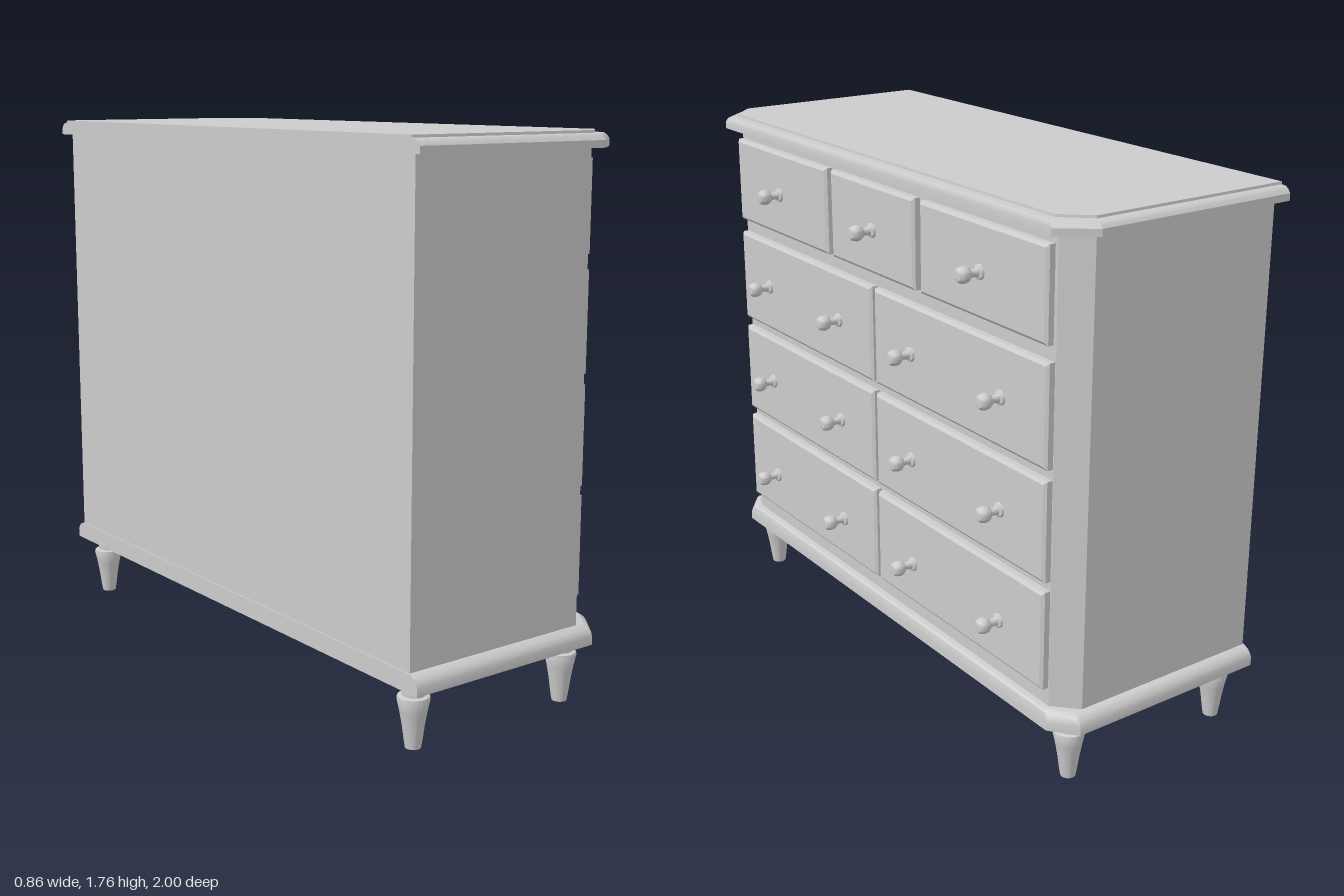
import * as THREE from 'three';
import { toCreasedNormals } from 'three/addons/utils/BufferGeometryUtils.js';

const material = new THREE.MeshStandardMaterial({ color: 0xcccccc });

function add(parent, geometry, name, x = 0, y = 0, z = 0) {
  const mesh = new THREE.Mesh(geometry, material);
  mesh.name = name;
  mesh.position.set(x, y, z);
  parent.add(mesh);
  return mesh;
}

// Slab with a flat back and two chamfered front corners, lofted through
// levels of [y, front inset, side inset].
function chamferedSlab({ back, front, cornerX, half, cornerZ }, levels) {
  const positions = [];
  const indices = [];
  for (const [y, fx, sz] of levels) {
    const c = cornerX - fx * 0.3, z = half - sz, cz = cornerZ - sz * 0.8, f = front - fx;
    const ring = [[back, z], [c, z], [f, cz], [f, -cz], [c, -z], [back, -z]];
    for (const [px, pz] of ring) positions.push(px, y, pz);
  }
  const n = 6;
  const last = (levels.length - 1) * n;
  for (let j = 0; j < levels.length - 1; j++) {
    for (let i = 0; i < n; i++) {
      const a = j * n + i, b = j * n + (i + 1) % n;
      indices.push(a, b, b + n, a, b + n, a + n);
    }
  }
  for (let i = 1; i < n - 1; i++) {
    indices.push(0, i + 1, i, last, last + i, last + i + 1);
  }
  const geometry = new THREE.BufferGeometry();
  geometry.setAttribute('position', new THREE.Float32BufferAttribute(positions, 3));
  geometry.setIndex(indices);
  return toCreasedNormals(geometry, 0.5);
}

// Turned part from [radius, height] points
function turned(points, segments = 24) {
  const profile = points.map(([r, y]) => new THREE.Vector2(r, y));
  return toCreasedNormals(new THREE.LatheGeometry(profile, segments), 0.6);
}

// Drawer front with a bevelled rim, facing +x
function drawerFront(width, height) {
  const bevel = 0.01;
  const w = width / 2 - bevel, h = height / 2 - bevel;
  const shape = new THREE.Shape([[-w, -h], [w, -h], [w, h], [-w, h]].map((p) => new THREE.Vector2(...p)));
  const geometry = new THREE.ExtrudeGeometry(shape, {
    depth: 0.022, bevelEnabled: true, bevelSize: bevel, bevelThickness: 0.008, bevelSegments: 1,
  });
  return geometry.rotateY(Math.PI / 2);
}

export function createModel() {
  const model = new THREE.Group();
  model.name = 'chestOfDrawers';

  // Carcass, plinth and top
  add(model, chamferedSlab(
    { back: -0.416, front: 0.32, cornerX: 0.25, half: 0.96, cornerZ: 0.887 },
    [[0.25, 0, 0], [1.72, 0, 0]]), 'carcass');
  add(model, chamferedSlab(
    { back: -0.42, front: 0.35, cornerX: 0.285, half: 0.997, cornerZ: 0.915 },
    [[0.2, 0, 0], [0.228, 0, 0], [0.242, 0.002, 0.006], [0.253, 0.005, 0.018], [0.26, 0.012, 0.036]]), 'plinth');
  add(model, chamferedSlab(
    { back: -0.435, front: 0.37, cornerX: 0.265, half: 1, cornerZ: 0.917 },
    [[1.715, 0, 0], [1.737, 0, 0], [1.748, 0.003, 0.008], [1.755, 0.009, 0.018],
      [1.757, 0.033, 0.034], [1.765, 0.034, 0.035]]), 'top');

  // Turned legs
  const leg = turned([[0, 0], [0.024, 0], [0.028, 0.025], [0.034, 0.07], [0.042, 0.115],
    [0.05, 0.152], [0.048, 0.16], [0.035, 0.163], [0.035, 0.205]]);
  for (const x of [-0.35, 0.248]) {
    for (const z of [-0.9, 0.9]) add(model, leg, 'leg', x, 0, z);
  }

  // Knob: flared foot, thin stem and rounded head, turned to point along +x
  const knob = turned([[0.024, 0], [0.022, 0.008], [0.014, 0.012], [0.012, 0.02], [0.012, 0.036],
    [0.018, 0.04], [0.024, 0.049], [0.0255, 0.06], [0.023, 0.072], [0.016, 0.08], [0, 0.083]], 20);
  knob.rotateZ(-Math.PI / 2);

  // Drawer rows: [bottom, top, knob height, drawers as [z from, z to, knob positions]]
  const pair = [[0.02, 0.882, [0.69, 0.222]], [-0.884, 0.004, [-0.205, -0.671]]];
  const trio = [[0.281, 0.882, [0.59]], [-0.228, 0.253, [0.004]], [-0.875, -0.26, [-0.568]]];
  const rows = [
    [1.393, 1.68, 1.534, trio],
    [1.026, 1.346, 1.184, pair],
    [0.673, 0.992, 0.83, pair],
    [0.32, 0.642, 0.461, pair],
  ];
  for (const [bottom, top, knobY, drawers] of rows) {
    for (const [z0, z1, knobs] of drawers) {
      const drawer = new THREE.Group();
      drawer.name = 'drawer';
      add(drawer, drawerFront(z1 - z0, top - bottom), 'drawerFront', 0.317, (top + bottom) / 2, (z0 + z1) / 2);
      for (const z of knobs) add(drawer, knob, 'knob', 0.346, knobY, z);
      model.add(drawer);
    }
  }
  return model;
}
